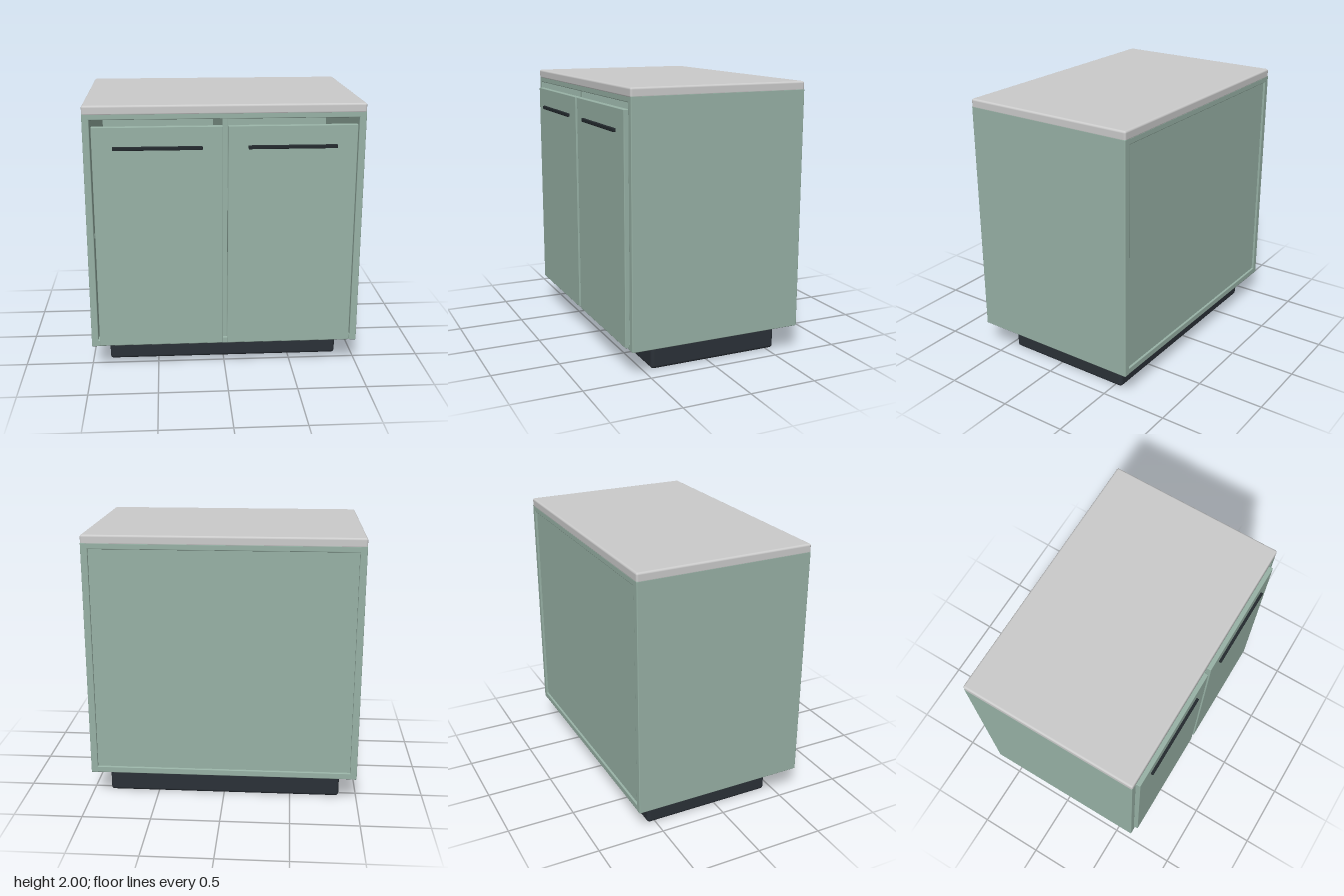
import * as THREE from 'three';
import { RoundedBoxGeometry } from 'three/addons/geometries/RoundedBoxGeometry.js';

const paint = new THREE.MeshStandardMaterial({ color: 0x98b2a6 });
const stone = new THREE.MeshStandardMaterial({ color: 0xcccccc });
const dark = new THREE.MeshStandardMaterial({ color: 0x2b3138 });
const metal = new THREE.MeshStandardMaterial({ color: 0x242a2e });

// Softly rounded box given by its extents [min, max] on each axis
function slab(name, [x0, x1], [y0, y1], [z0, z1], radius, material) {
  const geometry = new RoundedBoxGeometry(x1 - x0, y1 - y0, z1 - z0, 3, radius);
  const mesh = new THREE.Mesh(geometry, material);
  mesh.name = name;
  mesh.position.set((x0 + x1) / 2, (y0 + y1) / 2, (z0 + z1) / 2);
  return mesh;
}

// Extents on the left (+1) or right (-1) side
const mirror = (side, a, b) => (side > 0 ? [a, b] : [-b, -a]);

export function createModel() {
  const model = new THREE.Group();
  model.name = 'baseCabinet';

  // Recessed plinth and worktop
  model.add(slab('plinth', [-0.87, 0.87], [0, 0.2], [-0.56, 0.44], 0.025, dark));
  model.add(slab('worktop', [-0.99, 0.99], [1.93, 2], [-0.68, 0.637], 0.015, stone));

  // Hollow carcass
  const carcass = new THREE.Group();
  carcass.name = 'carcass';
  const depth = [-0.68, 0.635];
  carcass.add(
    slab('bottomPanel', [-0.985, 0.985], [0.202, 0.25], depth, 0.006, paint),
    slab('topPanel', [-0.985, 0.985], [1.9, 1.943], depth, 0.006, paint),
    slab('backPanel', [-0.945, 0.945], [0.245, 1.905], [-0.665, -0.63], 0.003, paint),
    slab('divider', [-0.02, 0.016], [0.245, 1.905], [-0.64, 0.62], 0.004, paint),
    slab('shelf', [-0.945, 0.945], [1.025, 1.055], [-0.64, 0.58], 0.004, paint)
  );
  for (const side of [1, -1]) {
    carcass.add(slab('sidePanel', mirror(side, 0.94, 0.99), [0.2, 1.945], depth, 0.006, paint));
  }
  model.add(carcass);

  // Pair of doors, each with a bar handle
  for (const side of [1, -1]) {
    const door = new THREE.Group();
    door.name = side > 0 ? 'leftDoor' : 'rightDoor';
    door.add(
      slab('doorPanel', mirror(side, 0.018, 0.928), [0.217, 1.855], [0.622, 0.661], 0.005, paint),
      slab('handle', mirror(side, 0.16, 0.785), [1.692, 1.717], [0.655, 0.68], 0.004, metal)
    );
    model.add(door);
  }
  return model;
}
